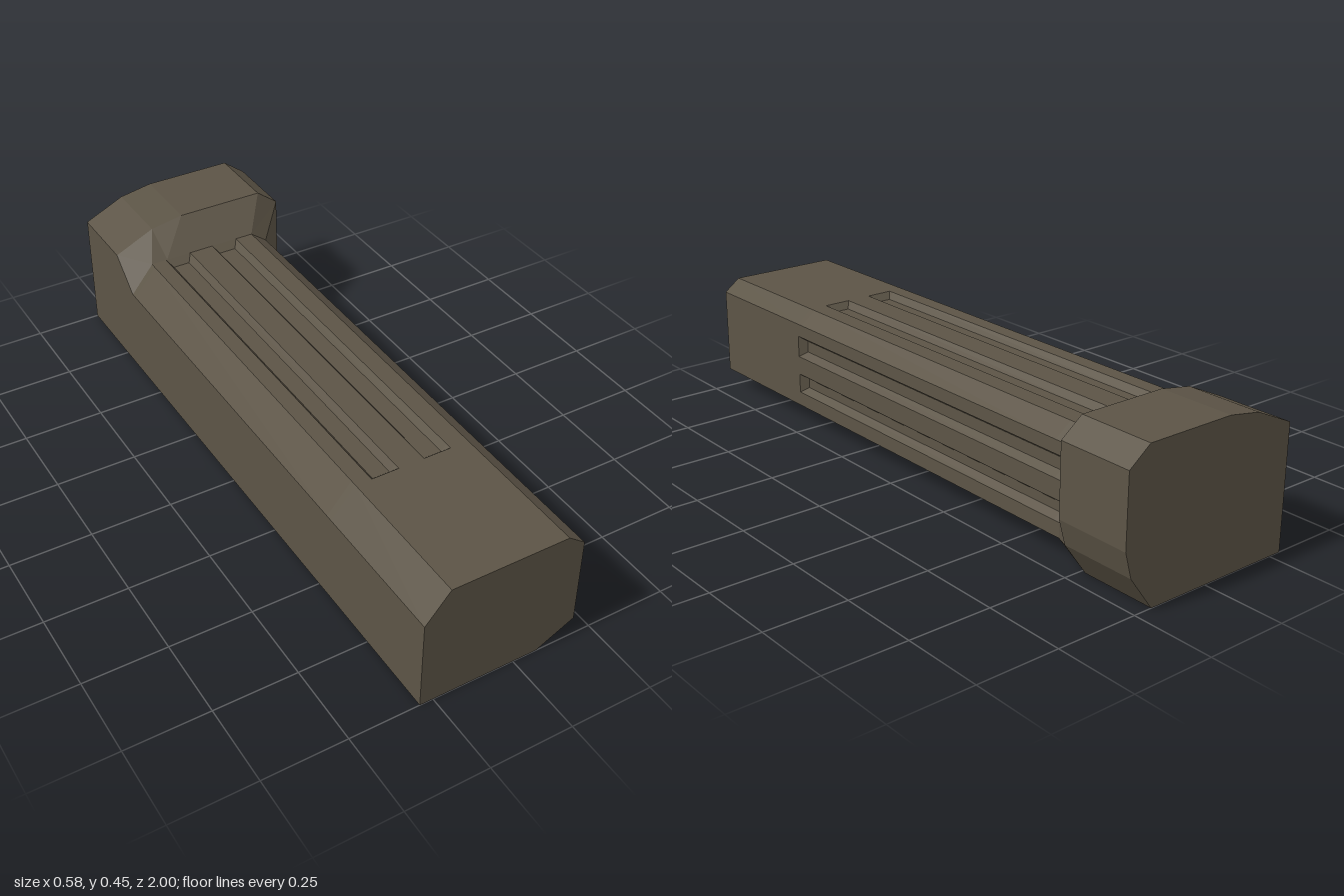
import * as THREE from 'three';

const material = new THREE.MeshStandardMaterial({ color: 0x5c5446, flatShading: true });

// Joins cross-sections (each { z, pts } with counter-clockwise points), ordered front to back
function loft(name, rings, capFront, capBack) {
  const pos = [];
  const put = (ring, i) => {
    const [x, y] = ring.pts[i % ring.pts.length];
    pos.push(x, y, ring.z);
  };
  for (let r = 0; r < rings.length - 1; r++) {
    const a = rings[r], b = rings[r + 1];
    for (let i = 0; i < a.pts.length; i++) {
      put(a, i); put(b, i); put(a, i + 1);
      put(a, i + 1); put(b, i); put(b, i + 1);
    }
  }
  const cap = (ring, order) => {
    const contour = ring.pts.map(([x, y]) => new THREE.Vector2(x, y));
    for (const tri of THREE.ShapeUtils.triangulateShape(contour, [])) {
      order.forEach((k) => put(ring, tri[k]));
    }
  };
  if (capFront) cap(rings[0], [0, 1, 2]);
  if (capBack) cap(rings[rings.length - 1], [0, 2, 1]);
  const geometry = new THREE.BufferGeometry();
  geometry.setAttribute('position', new THREE.Float32BufferAttribute(pos, 3));
  geometry.computeVertexNormals();
  const mesh = new THREE.Mesh(geometry, material);
  mesh.name = name;
  return mesh;
}

// Shaft cross-section; cut = 1 sinks the grooves, cut = 0 closes them flush
const BEVEL = 0.016;
function shaftSection(cut) {
  const pts = [[-0.29, 0], [0.075, 0], [0.192, 0.06]];
  // two grooves in the +x side, going up
  for (const [lo, hi] of [[0.105, 0.166], [0.225, 0.293]]) {
    const x = 0.192 - 0.022 * cut, b = BEVEL * cut;
    pts.push([0.192, lo], [x, lo + b], [x, hi - b], [0.192, hi]);
  }
  pts.push([0.192, 0.333], [0.14, 0.372]);
  // two grooves in the top, going towards -x
  for (const [hi, lo] of [[0.083, -0.003], [-0.082, -0.167]]) {
    const y = 0.372 - 0.02 * cut, b = BEVEL * cut;
    pts.push([hi, 0.372], [hi - b, y], [lo + b, y], [lo, 0.372]);
  }
  pts.push([-0.216, 0.372], [-0.29, 0.283]);
  return pts;
}

export function createModel() {
  const group = new THREE.Group();
  group.name = 'groovedBar';

  // Long chamfered shaft with grooves
  const shaft = loft('shaft', [
    { z: 1, pts: shaftSection(0) },
    { z: 0.56, pts: shaftSection(0) },
    { z: 0.54, pts: shaftSection(1) },
    { z: -0.64, pts: shaftSection(1) },
    { z: -0.662, pts: shaftSection(0) },
  ], true, false);

  // Outline at the foot of the flare, matched point for point to the head outline
  const flareStart = [
    [-0.29, 0], [0.075, 0], [0.192, 0.06], [0.192, 0.17], [0.192, 0.333],
    [0.14, 0.372], [-0.058, 0.372], [-0.163, 0.372], [-0.216, 0.372], [-0.29, 0.283],
  ];
  const headOutline = [
    [-0.29, 0], [0.192, 0], [0.268, 0.105], [0.29, 0.183], [0.29, 0.397],
    [0.222, 0.449], [-0.058, 0.449], [-0.163, 0.431], [-0.29, 0.373],
  ];
  const flareEnd = [...headOutline, [-0.29, 0.373]];

  const flare = loft('flare', [
    { z: -0.662, pts: flareStart },
    { z: -0.765, pts: flareEnd },
  ], false, false);

  // Wider end block
  const head = loft('head', [
    { z: -0.765, pts: headOutline },
    { z: -1, pts: headOutline },
  ], false, true);

  group.add(shaft, flare, head);
  return group;
}
